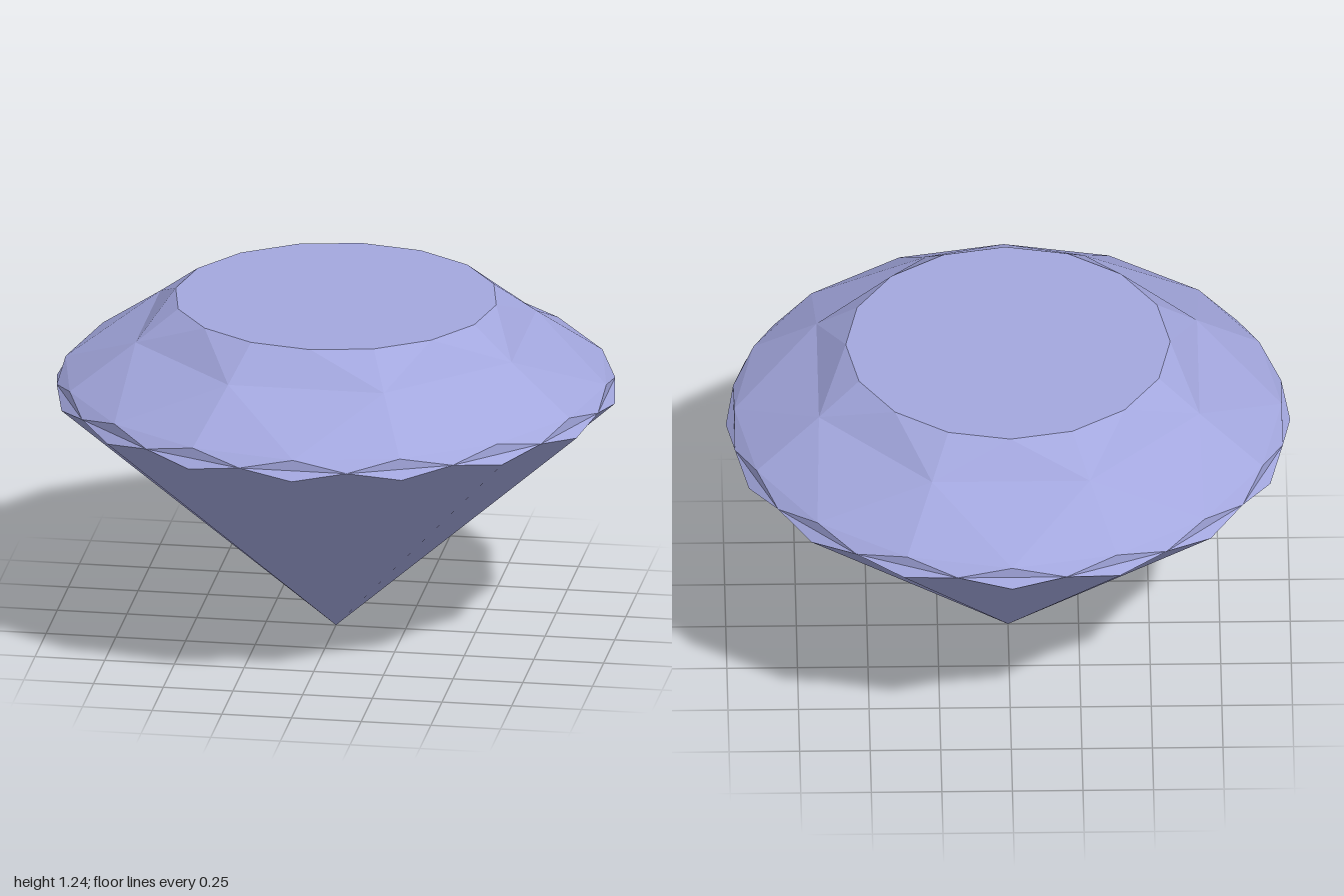
import * as THREE from 'three';

const N = 16;

// Point on a ring, with the step measured in sixteenths of a turn
const at = (r, y, step) => {
  const a = (step / N) * Math.PI * 2;
  return [r * Math.sin(a), y, r * Math.cos(a)];
};
const table = (i) => at(0.575, 1.235, i);
const crown = (i) => at(0.73, 1.122, i);
const shoulder = (i) => at(0.97, 0.957, i);
const girdleLow = (i) => at(1, 0.887, i);
const girdleHigh = (i) => at(0.99, 0.918, i + 0.5);

function facets(name, material, triangles) {
  const g = new THREE.BufferGeometry();
  g.setAttribute('position', new THREE.Float32BufferAttribute(triangles.flat(2), 3));
  g.computeVertexNormals();
  const mesh = new THREE.Mesh(g, material);
  mesh.name = name;
  return mesh;
}

export function createModel() {
  const group = new THREE.Group();
  group.name = 'cutGem';
  const gem = new THREE.MeshStandardMaterial({ color: 0xa3a7de, flatShading: true });
  gem.name = 'periwinkle';

  const top = [], stars = [], kites = [], upperGirdle = [], girdle = [], pavilion = [];
  const tip = [0, 0, 0];

  for (let i = 0; i < N; i++) {
    // Flat table and pointed underside
    top.push([[0, 1.235, 0], table(i), table(i + 1)]);
    pavilion.push([tip, girdleHigh(i), girdleLow(i)], [tip, girdleLow(i + 1), girdleHigh(i)]);
    // Zigzag girdle below the shoulder
    girdle.push(
      [shoulder(i), girdleHigh(i), shoulder(i + 1)],
      [shoulder(i), girdleHigh(i - 1), girdleHigh(i)],
      [girdleHigh(i - 1), girdleLow(i), girdleHigh(i)],
    );
  }

  for (let m = 1; m < N; m += 2) {
    // Facets fanning out from each of the eight crown corners
    stars.push([crown(m), table(m), table(m - 1)], [crown(m), table(m + 1), table(m)]);
    upperGirdle.push([crown(m), shoulder(m - 1), shoulder(m)], [crown(m), shoulder(m), shoulder(m + 1)]);
    // Folded kite between neighbouring corners
    kites.push([table(m + 1), crown(m), crown(m + 2)], [shoulder(m + 1), crown(m + 2), crown(m)]);
  }

  group.add(
    facets('table', gem, top),
    facets('starFacets', gem, stars),
    facets('kiteFacets', gem, kites),
    facets('upperGirdleFacets', gem, upperGirdle),
    facets('girdle', gem, girdle),
    facets('pavilion', gem, pavilion),
  );
  return group;
}
